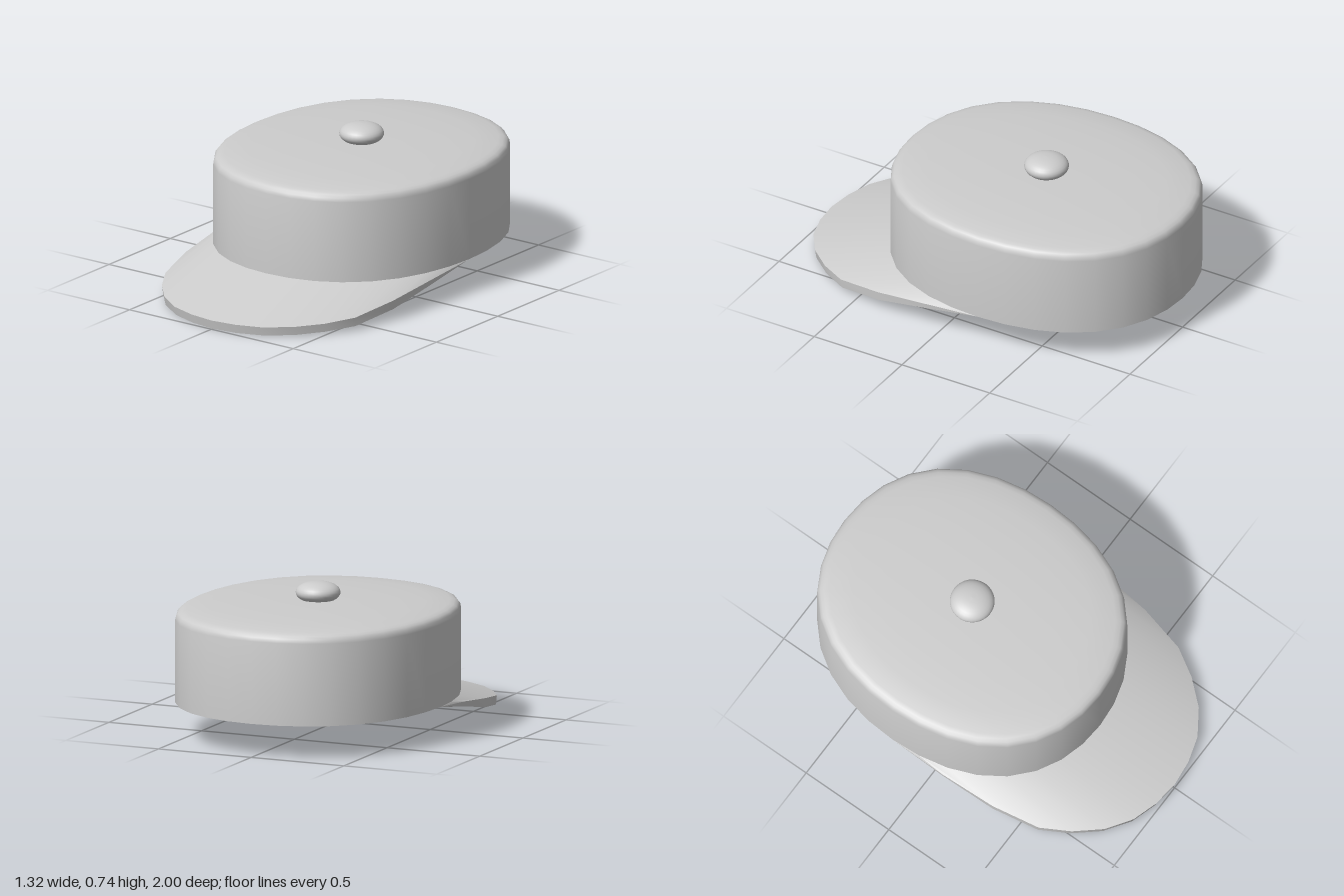
import * as THREE from 'three';
import { toCreasedNormals } from 'three/addons/utils/BufferGeometryUtils.js';

const RX = 0.66, RZ = 0.775, CZ = -0.225; // oval crown: half axes and centre
const RIM_Y = 0.167, INNER = 0.905, SEGMENTS = 32;

// The oval is slightly fuller than an ellipse at its diagonals
const fullness = (angle) => 1 + 0.034 * Math.sin(2 * angle) ** 2;

// Hollow crown: ceiling, inner wall, rim, outer wall, rounded shoulder, low dome
function crownGeometry() {
  const profile = [
    [0, 0.578], [0.5, 0.57], [INNER, 0.546], [INNER, RIM_Y], [1, RIM_Y], [1, 0.578],
    [0.994, 0.598], [0.98, 0.611], [0.958, 0.619], [0.925, 0.625],
    [0.77, 0.635], [0.57, 0.644], [0.28, 0.649], [0, 0.65],
  ].map(([r, y]) => new THREE.Vector2(r, y));
  const geo = new THREE.LatheGeometry(profile, SEGMENTS);
  const pos = geo.attributes.position;
  for (let i = 0; i < pos.count; i++) {
    const x = pos.getX(i), z = pos.getZ(i);
    const f = fullness(Math.atan2(z, x));
    pos.setX(i, x * f * RX);
    pos.setZ(i, z * f * RZ);
  }
  return toCreasedNormals(geo, 0.7);
}

// Sloping brim: cross-sections swept around the front half of the crown
function brimGeometry() {
  // Outer edge from the side to the front middle: x, z, bottom y, top y
  const edge = [
    [0.66, -0.225, 0.166, 0.167], [0.655, 0.07, 0.116, 0.141],
    [0.632, 0.36, 0.058, 0.103], [0.58, 0.6, 0.024, 0.069],
    [0.497, 0.74, 0.015, 0.058], [0.392, 0.86, 0.008, 0.052],
    [0.265, 0.945, 0.004, 0.048], [0.134, 0.985, 0.001, 0.046],
    [0, 1, 0, 0.045],
  ];
  const positions = [], index = [];
  for (let i = 0; i <= 16; i++) {
    const a = (i / 16) * Math.PI;
    const [ex, z, bottom, top] = edge[i <= 8 ? i : 16 - i];
    const x = i <= 8 ? ex : -ex;
    const cx = RX * fullness(a) * Math.cos(a), cz = RZ * fullness(a) * Math.sin(a);
    positions.push(
      cx, RIM_Y, CZ + cz,
      x, top, z,
      x * 0.996, bottom, z - 0.01 * Math.sin(a), // edge leans slightly inward
      cx * INNER, RIM_Y - (top - bottom), CZ + cz * INNER,
      cx * INNER, RIM_Y, CZ + cz * INNER, // lower lip of the opening
    );
    if (i === 16) break;
    for (let j = 0; j < 4; j++) {
      const p = i * 5 + j, q = p + 5;
      index.push(p, q, p + 1, p + 1, q, q + 1);
    }
  }
  const geo = new THREE.BufferGeometry();
  geo.setAttribute('position', new THREE.Float32BufferAttribute(positions, 3));
  geo.setIndex(index);
  return toCreasedNormals(geo, 0.5);
}

// Flattened button with full, rounded sides
function buttonGeometry() {
  const profile = [];
  for (let i = 0; i <= 16; i++) {
    const a = (i / 16 - 0.5) * Math.PI;
    const r = i % 16 === 0 ? 0 : 0.11 * Math.cos(a) ** 0.88;
    profile.push(new THREE.Vector2(r, 0.052 * Math.sin(a)));
  }
  return new THREE.LatheGeometry(profile, SEGMENTS);
}

export function createModel() {
  const grey = new THREE.MeshStandardMaterial({ color: 0xcccccc });
  grey.name = 'grey cloth';
  const group = new THREE.Group();
  group.name = 'cap';

  const add = (name, geometry, y, z) => {
    const mesh = new THREE.Mesh(geometry, grey);
    mesh.name = name;
    mesh.position.set(0, y, z);
    group.add(mesh);
  };

  add('crown', crownGeometry(), 0, CZ);
  add('brim', brimGeometry(), 0, 0);
  add('button', buttonGeometry(), 0.685, CZ);

  return group;
}
